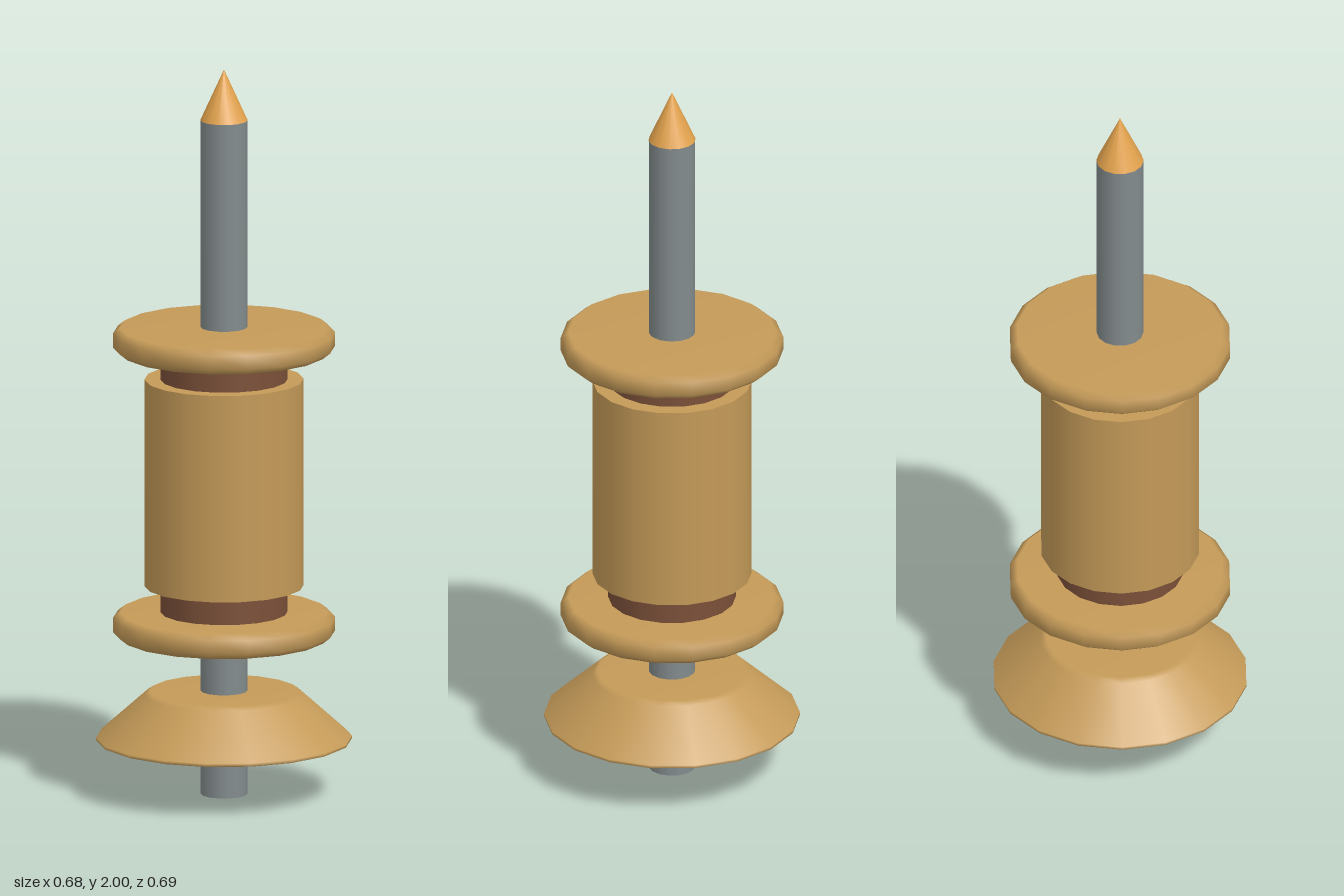
import * as THREE from 'three';

export function createModel() {
  const model = new THREE.Group();
  model.name = 'spindle';
  const material = (name, color) => {
    const m = new THREE.MeshStandardMaterial({ color });
    m.name = name;
    return m;
  };
  const wood = material('tan wood', 0xc49a58);
  const brown = material('brown core', 0x7b5039);
  const steel = material('grey metal', 0x838b8c);
  const amber = material('amber tip', 0xe2a24c);

  const add = (name, geometry, mat, y = 0) => {
    const mesh = new THREE.Mesh(geometry, mat);
    mesh.name = name;
    mesh.position.y = y;
    model.add(mesh);
  };
  // Upright cylinder or cone between two heights
  const post = (name, rTop, rBottom, y0, y1, sides, mat) =>
    add(name, new THREE.CylinderGeometry(rTop, rBottom, y1 - y0, sides), mat, (y0 + y1) / 2);
  // Turned part, profile listed from the bottom up
  const turned = (name, profile, mat, y) =>
    add(name, new THREE.LatheGeometry(profile.map(([r, h]) => new THREE.Vector2(r, h)), 18), mat, y);

  // Central rod and pointed tip
  post('rod', 0.063, 0.063, 0, 1.862, 14, steel);
  post('tip', 0, 0.064, 1.86, 2, 14, amber);

  // Flared foot
  turned('foot', [[0, 0], [0.34, 0], [0.345, 0.002], [0.345, 0.01], [0.215, 0.127], [0.2, 0.137], [0, 0.137]], wood, 0.148);

  // Core and the sleeve around it
  post('core', 0.172, 0.172, 0.48, 1.24, 18, brown);
  post('sleeve', 0.215, 0.215, 0.575, 1.145, 18, wood);

  // Bevelled flanges at both ends of the core
  const flange = [[0, 0], [0.28, 0], [0.3, 0.016], [0.3, 0.054], [0.28, 0.07], [0, 0.07]];
  turned('lowerFlange', flange, wood, 0.433);
  turned('upperFlange', flange, wood, 1.219);

  return model;
}
